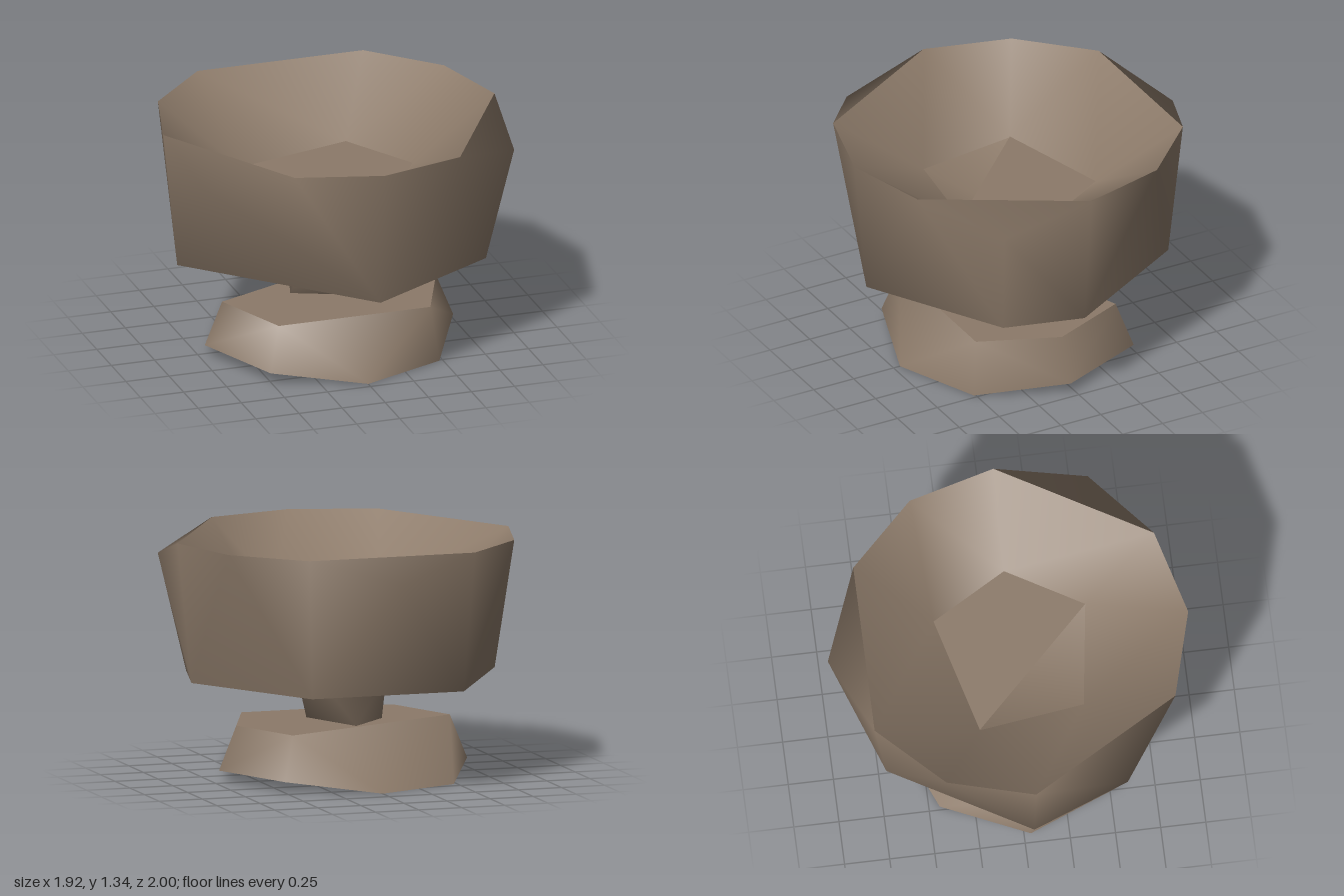
import * as THREE from 'three';

const CZ = 0.035; // z of the turning axis

// Ring of [x, z, y?] points, ordered counter-clockwise as seen from above
const ring = (y, pts) => pts.map(([x, z, h = y]) => new THREE.Vector3(x, h, z));

function surface(points, index) {
  const g = new THREE.BufferGeometry().setFromPoints(points);
  g.setIndex(index);
  g.computeVertexNormals();
  return g;
}

// Smooth skin between two rings with different point counts, always taking the
// shorter diagonal; extra adds triangles between points of the upper ring
function skin(lower, upper, { inward = false, extra = [] } = {}) {
  const nL = lower.length, nU = upper.length, index = [];
  let i = 0, j = 0;
  while (i < nL || j < nU) {
    const a = i % nL, b = j % nU, a2 = (i + 1) % nL, b2 = (j + 1) % nU;
    const upperIsShorter = lower[a].distanceTo(upper[b2]) <= lower[a2].distanceTo(upper[b]);
    if (i >= nL || (j < nU && upperIsShorter)) {
      index.push(a, nL + b2, nL + b);
      j++;
    } else {
      index.push(a, a2, nL + b);
      i++;
    }
  }
  for (const t of extra) index.push(...t.map((k) => nL + k));
  if (inward) index.reverse();
  return surface([...lower, ...upper], index);
}

// Flat lid over a ring
function lid(pts, down = false) {
  const index = [];
  for (let k = 1; k < pts.length - 1; k++) index.push(0, k, k + 1);
  if (down) index.reverse();
  return surface(pts, index);
}

export function createModel() {
  const group = new THREE.Group();
  const clay = new THREE.MeshStandardMaterial({ color: 0x8c7a69 });
  clay.name = 'brown clay';
  clay.side = THREE.DoubleSide;
  const add = (name, geometry) => {
    const m = new THREE.Mesh(geometry, clay);
    m.name = name;
    group.add(m);
  };

  // Bowl: chipped rim with three low corners, narrower flat underside
  const rim = ring(1.34, [
    [0, 0.995], [0.48, 0.865], [0.9, 0.55, 1.21], [0.96, CZ], [0.83, -0.445], [0.48, -0.8],
    [0, -1, 1.21], [-0.48, -0.8], [-0.83, -0.445], [-0.96, CZ], [-0.9, 0.55, 1.21], [-0.48, 0.865],
  ]);
  const under = ring(0.56, [
    [0, 0.92], [0.76, 0.48], [0.88, CZ], [0.44, -0.73], [-0.44, -0.73], [-0.88, CZ],
  ]);
  add('bowlOuterWall', skin(under, rim, { extra: [[1, 2, 3], [5, 6, 7], [9, 10, 11]] }));
  add('bowlUnderside', lid(under, true));

  // Hollow of the bowl: sloping wall, deeper pit, and a flat fill cut short on one side
  const pitEdge = ring(0.985, [
    [-0.34, 0.375], [0.24, 0.455], [0.485, CZ], [0.24, -0.385], [-0.42, -0.21],
  ]);
  const fill = ring(0.99, [[0.24, 0.455], [0.485, CZ], [0.24, -0.385], [-0.42, -0.21]]);
  add('bowlInnerWall', skin(pitEdge, rim.filter((p) => p.y > 1.3), { inward: true }));
  add('bowlPit', skin(ring(0.8, [[0, CZ]]), pitEdge, { inward: true }));
  add('bowlFill', lid(fill));

  // Twisted stem
  const stemLow = ring(0.31, [[0.159, 0.194], [0, -0.19], [-0.225, CZ]]);
  const stemTop = ring(0.56, [[0.265, CZ], [0.187, -0.152], [-0.187, -0.152], [-0.187, 0.222]]);
  add('stem', skin(stemLow, stemTop));

  // Foot: flat top, sloping sides, and two raised sections of the lower edge
  const footTop = ring(0.31, [[0.44, 0.475], [0.62, CZ], [0.44, -0.4], [-0.62, CZ], [-0.44, 0.475]]);
  const footLow = ring(0, [
    [0.48, 0.51], [0.72, CZ, 0.065], [0.51, -0.475, 0.065], [0, -0.64],
    [-0.48, -0.44], [-0.72, CZ, 0.065], [-0.51, 0.545, 0.065], [0, 0.71],
  ]);
  add('footSide', skin(footLow, footTop));
  add('footTop', lid(footTop));
  add('footBottom', lid([0, 3, 4, 7].map((k) => footLow[k]), true));
  add('footBottomLeft', lid(footLow.slice(0, 4), true));
  add('footBottomRight', lid(footLow.slice(4), true));
  return group;
}
